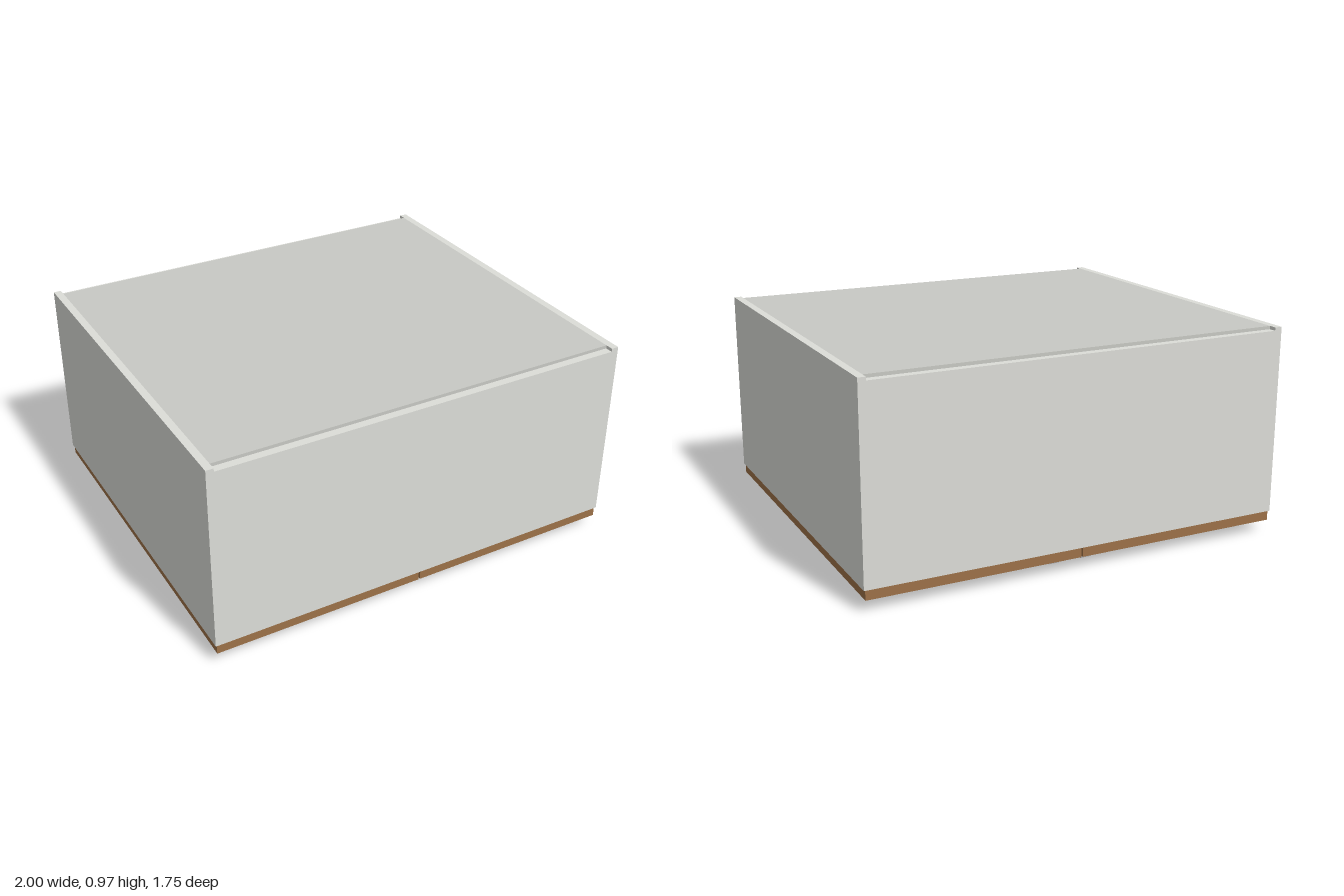
import * as THREE from 'three';

// Cabinet lying on its doors: back panel on top, doors and handles underneath.
export function createModel() {
  const group = new THREE.Group();
  const carcass = new THREE.MeshStandardMaterial({ color: 0xdcddd8 });
  const backing = new THREE.MeshStandardMaterial({ color: 0xc8c9c4 });
  const wood = new THREE.MeshStandardMaterial({ color: 0x9c7148 });
  const metal = new THREE.MeshStandardMaterial({ color: 0xa9abb0 });

  // Box given by its minimum and maximum on each axis
  function box(name, material, [x0, x1], [y0, y1], [z0, z1]) {
    const mesh = new THREE.Mesh(new THREE.BoxGeometry(x1 - x0, y1 - y0, z1 - z0), material);
    mesh.position.set((x0 + x1) / 2, (y0 + y1) / 2, (z0 + z1) / 2);
    mesh.name = name;
    group.add(mesh);
  }
  // Same range mirrored to the other side when s is -1
  const side = (s, a, b) => (s > 0 ? [a, b] : [-b, -a]);

  for (const s of [1, -1]) {
    const label = s > 0 ? 'left' : 'right';
    box(label + 'SidePanel', carcass, side(s, 0.965, 1), [0.1, 0.972], [-0.875, 0.875]);
    box(s > 0 ? 'frontEndPanel' : 'rearEndPanel', carcass,
      [-0.965, 0.965], [0.1, 0.957], side(s, 0.838, 0.875));
    box(label + 'Door', wood, side(s, 0.004, 0.993), [0.055, 0.099], [-0.87, 0.87]);
    box(label + 'Handle', metal, side(s, 0.054, 0.106), [0, 0.055], [-0.765, -0.365]);
  }

  // Back panel set between the sides, standing a little above the end panels
  box('backPanel', backing, [-0.965, 0.965], [0.935, 0.972], [-0.838, 0.838]);

  return group;
}
